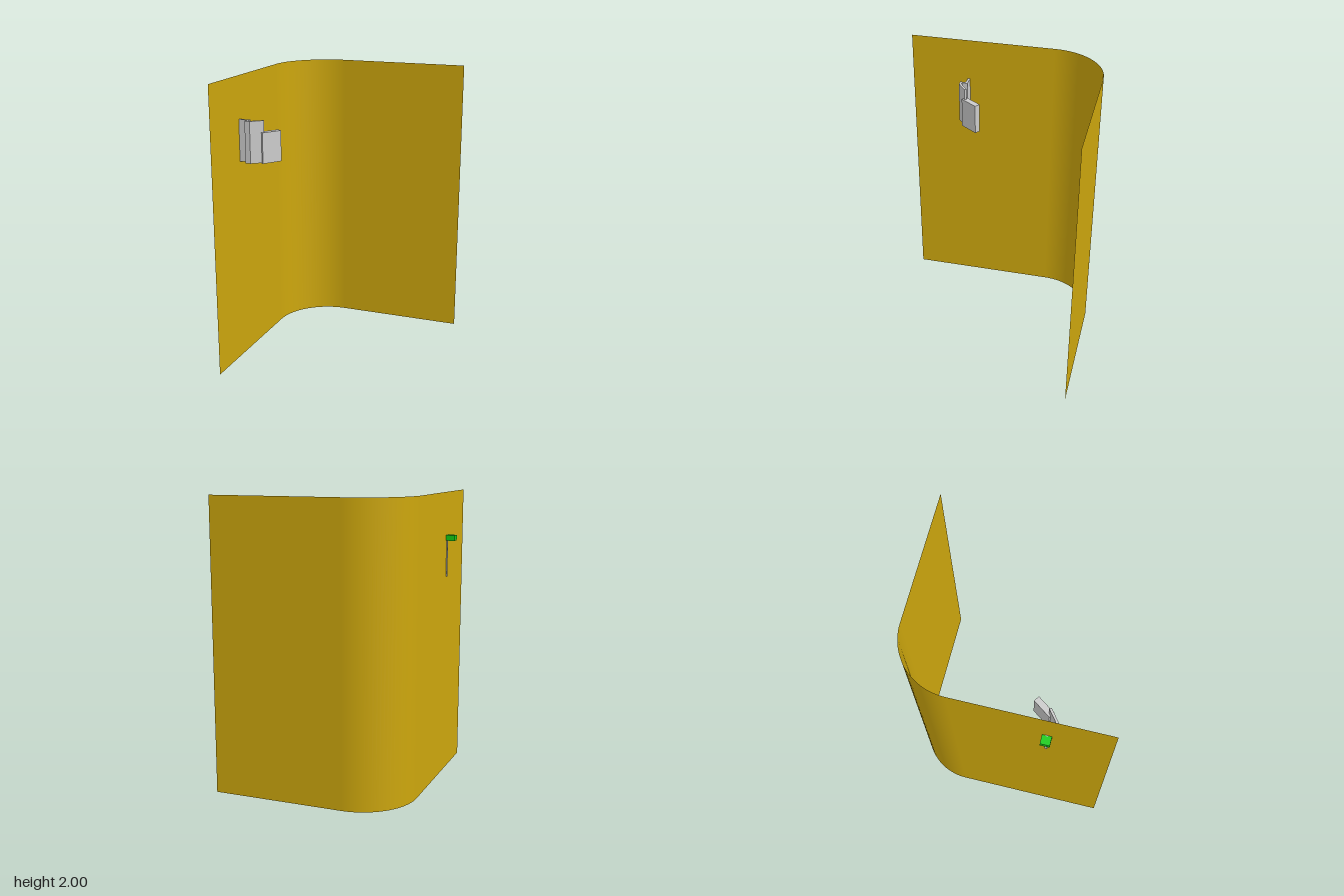
import * as THREE from 'three';

const grey = new THREE.MeshStandardMaterial({ color: 0xcccccc, flatShading: true });
const yellow = new THREE.MeshStandardMaterial({ color: 0xcca60d, side: THREE.DoubleSide });
const green = new THREE.MeshStandardMaterial({ color: 0x14cc14 });

// Curved sheet: straight side, quarter-round corner, straight back
function wallGeometry() {
  const r = 0.385, x0 = -0.617, z0 = -0.707, steps = 24;
  const path = [[x0, 0.707, -1, 0]];
  for (let i = 0; i <= steps; i++) {
    const a = (i / steps) * Math.PI / 2;
    const nx = -Math.cos(a), nz = -Math.sin(a);
    path.push([x0 + r + r * nx, z0 + r + r * nz, nx, nz]);
  }
  path.push([0.678, z0, 0, -1]);
  const pos = [], nor = [], idx = [];
  path.forEach(([x, z, nx, nz], i) => {
    pos.push(x, 0, z, x, 2, z);
    nor.push(-nx, 0, -nz, -nx, 0, -nz);
    if (i) {
      const a = 2 * i - 2;
      idx.push(a, a + 2, a + 1, a + 1, a + 2, a + 3);
    }
  });
  const g = new THREE.BufferGeometry();
  g.setAttribute('position', new THREE.Float32BufferAttribute(pos, 3));
  g.setAttribute('normal', new THREE.Float32BufferAttribute(nor, 3));
  g.setIndex(idx);
  return g;
}

// Upright prism from a plan outline of [x, z] points
function prism(name, plan, y0, y1, material) {
  const shape = new THREE.Shape(plan.map(([x, z]) => new THREE.Vector2(x, -z)));
  const g = new THREE.ExtrudeGeometry(shape, { depth: y1 - y0, bevelEnabled: false });
  g.rotateX(-Math.PI / 2);
  g.translate(0, y0, 0);
  const mesh = new THREE.Mesh(g, material);
  mesh.name = name;
  return mesh;
}

export function createModel() {
  const model = new THREE.Group();
  model.name = 'wallWithBracket';

  const wall = new THREE.Mesh(wallGeometry(), yellow);
  wall.name = 'curvedWall';
  model.add(wall);

  const bracket = new THREE.Group();
  bracket.name = 'bracket';
  // Rail that passes through the wall
  bracket.add(prism('rail', [[-0.623, 0.302], [-0.555, 0.302], [-0.555, 0.285], [-0.623, 0.285]], 1.415, 1.705, grey));
  // Stepped joint and angled arm
  bracket.add(prism('angledArm', [
    [-0.555, 0.285], [-0.555, 0.342], [-0.518, 0.342], [-0.44, 0.281],
    [-0.449, 0.268], [-0.524, 0.326], [-0.537, 0.326], [-0.537, 0.285],
  ], 1.415, 1.705, grey));
  // Thick slab at the end of the arm
  bracket.add(prism('slab', [[-0.478, 0.277], [-0.444, 0.303], [-0.361, 0.184], [-0.395, 0.16]], 1.412, 1.625, grey));
  model.add(bracket);

  // Small block on the outer face of the wall
  const block = new THREE.Mesh(new THREE.BoxGeometry(0.06, 0.037, 0.062), green);
  block.name = 'outerBlock';
  block.position.set(-0.648, 1.686, 0.294);
  model.add(block);

  return model;
}
